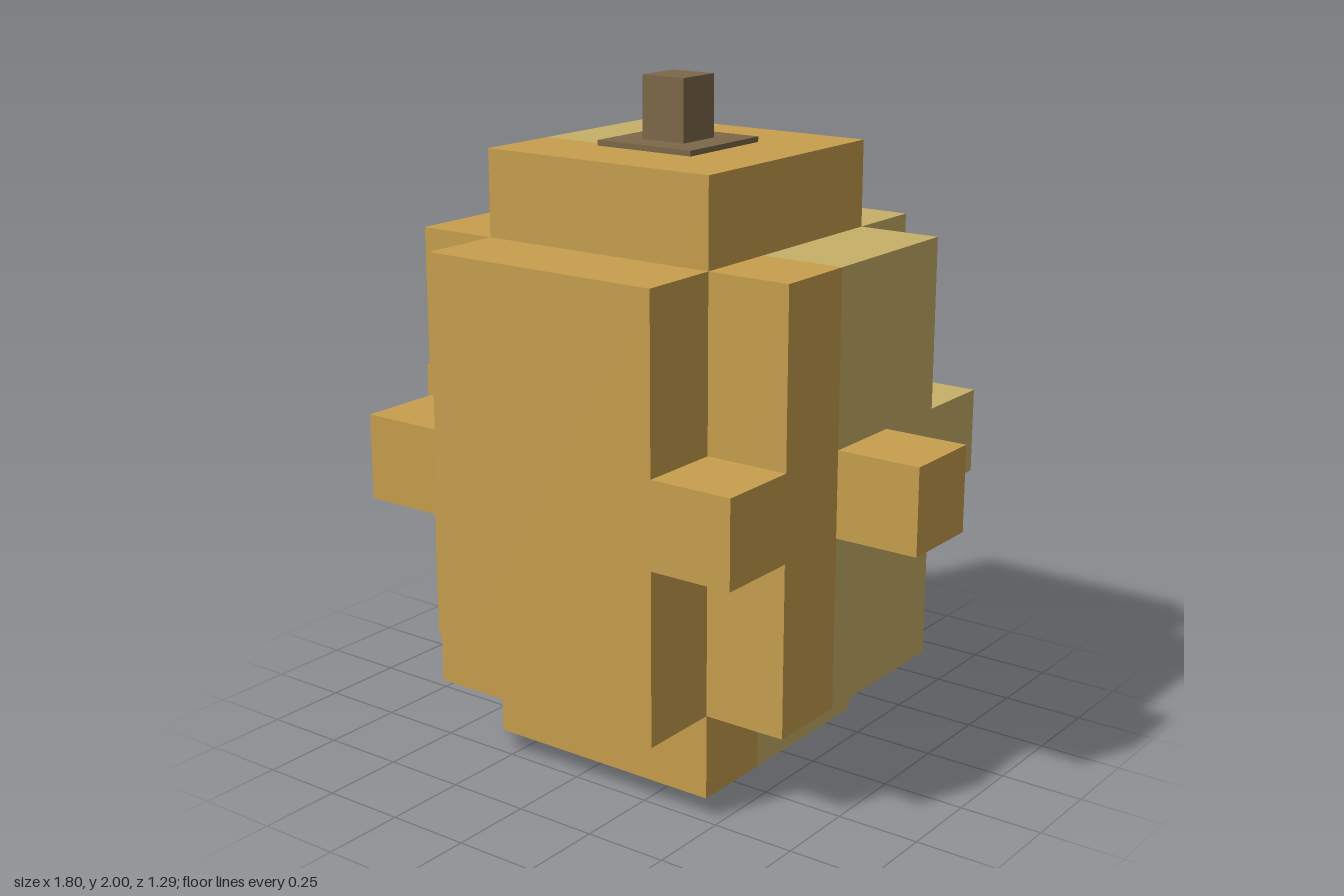
import * as THREE from 'three';

const U = 1.8 / 7; // edge of one body block

export function createModel() {
  const model = new THREE.Group();
  model.name = 'blockGourd';

  const mat = (name, color) => {
    const m = new THREE.MeshStandardMaterial({ color });
    m.name = name;
    return m;
  };
  const ochre = mat('ochre', 0xc8a04e);
  const straw = mat('straw', 0xc8b068);
  const brown = mat('stemBrown', 0x7d6849);

  // Box from its limits, given in multiples of a unit
  const box = (name, material, [x0, x1], [y0, y1], [z0, z1], unit = U) => {
    const g = new THREE.BoxGeometry((x1 - x0) * unit, (y1 - y0) * unit, (z1 - z0) * unit);
    const mesh = new THREE.Mesh(g, material);
    mesh.name = name;
    mesh.position.set((x0 + x1) / 2 * unit, (y0 + y1) / 2 * unit, (z0 + z1) / 2 * unit);
    model.add(mesh);
  };

  // Core column: the pale patch swaps sides at the cap
  const low = [0, 6], cap = [6, 7], slab = [1, 6], mid = [3, 4];
  const full = [-1.5, 1.5], back = [-1.5, 0.5], front = [0.5, 1.5];
  const near = [-1.5, -0.5], far = [-0.5, 1.5];
  box('coreFront', ochre, full, [0, 7], front);
  box('coreLowerSide', ochre, near, low, back);
  box('coreLowerPatch', straw, far, low, back);
  box('capSide', ochre, far, cap, back);
  box('capPatch', straw, near, cap, back);

  // Slabs on the four sides
  box('frontSlab', ochre, full, slab, [1.5, 2.5]);
  box('rightSlab', ochre, [-2.5, -1.5], slab, full);
  box('leftSlabFront', ochre, [1.5, 2.5], slab, front);
  box('leftSlabPatch', straw, [1.5, 2.5], slab, back);
  box('backSlabSide', ochre, near, slab, [-2.5, -1.5]);
  box('backSlabPatch', straw, far, slab, [-2.5, -1.5]);

  // Blocks in the corners and knobs on the sides
  const span = (s, a, b) => (s > 0 ? [a, b] : [-b, -a]);
  for (const sx of [-1, 1]) {
    for (const sz of [-1, 1]) {
      box('cornerBlock', sx > 0 && sz < 0 ? straw : ochre, span(sx, 1.5, 2.5), mid, span(sz, 1.5, 2.5));
    }
    box('sideKnob', ochre, span(sx, 2.5, 3.5), mid, [-0.5, 0.5]);
  }

  // Stem on its thin plate
  box('stemPlate', brown, [-0.165, 0.165], [1.8, 1.816], [-0.165, 0.165], 1);
  box('stem', brown, [-0.073, 0.073], [1.816, 2], [-0.073, 0.073], 1);

  return model;
}
